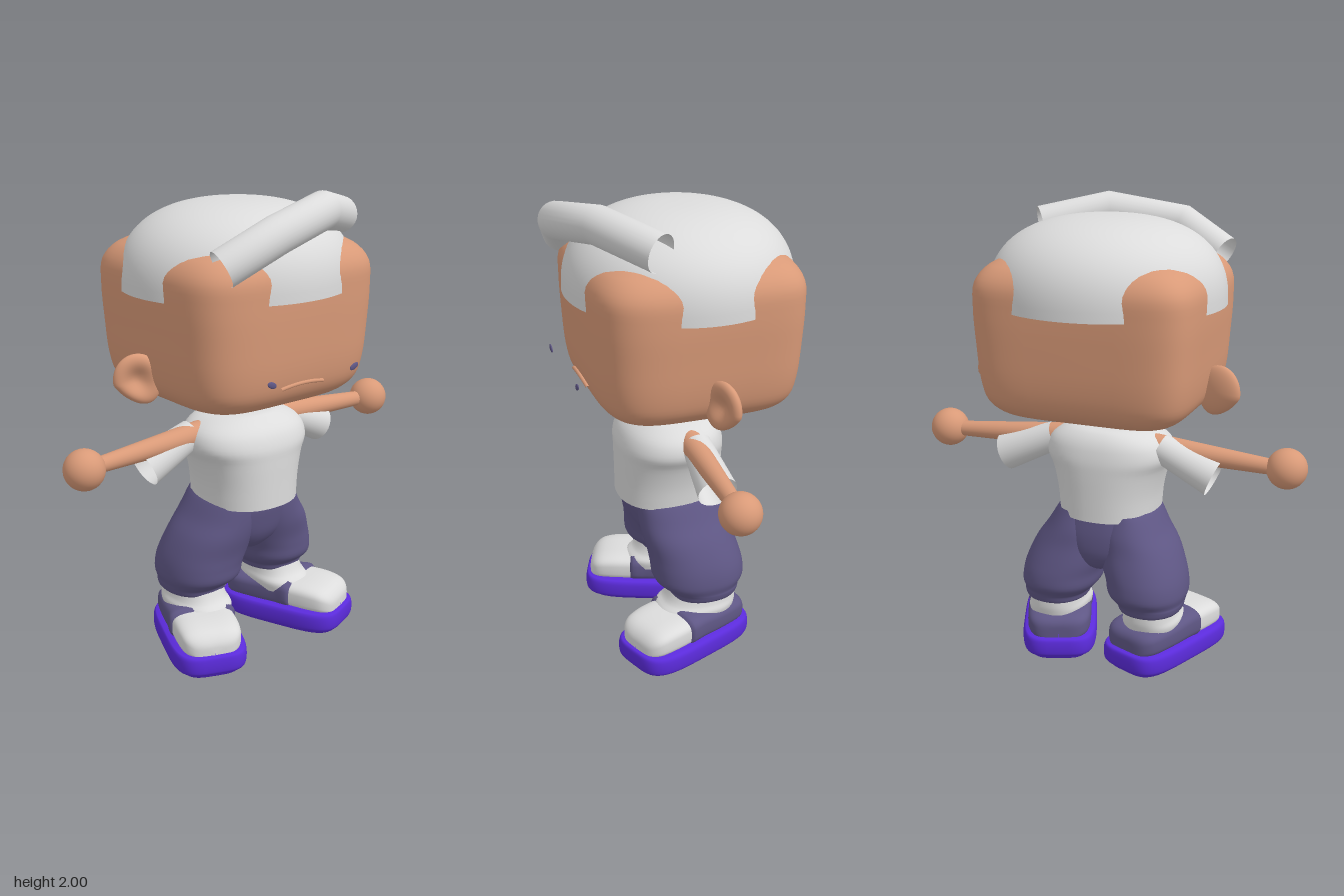
import * as THREE from 'three';

const mat = (name, color, side = THREE.FrontSide) => {
  const m = new THREE.MeshStandardMaterial({ color, side });
  m.name = name;
  return m;
};

// Smooth loft through rings [y, radiusX, radiusZ, centreX, centreZ];
// n shapes the outline (2 = ellipse, higher = boxier), nBack its -z half.
function loft(rings, n = 2, nBack = n, seg = 48, sub = 4) {
  const size = new THREE.CatmullRomCurve3(rings.map(r => new THREE.Vector3(r[1], r[0], r[2])));
  const mid = new THREE.CatmullRomCurve3(rings.map(r => new THREE.Vector3(r[3] || 0, r[0], r[4] || 0)));
  const rows = (rings.length - 1) * sub;
  const pos = [], idx = [];
  const bend = (v, e) => Math.sign(v) * Math.pow(Math.abs(v), 2 / e);
  for (let j = 0; j <= rows; j++) {
    const s = size.getPoint(j / rows), c = mid.getPoint(j / rows);
    for (let i = 0; i < seg; i++) {
      const t = (i / seg) * Math.PI * 2;
      const e = Math.sin(t) < 0 ? nBack : n;
      pos.push(c.x + s.x * bend(Math.cos(t), e), s.y, c.z + s.z * bend(Math.sin(t), e));
      if (j < rows) {
        const a = j * seg + i, b = j * seg + (i + 1) % seg;
        idx.push(a, a + seg, b, b, a + seg, b + seg);
      }
    }
  }
  const g = new THREE.BufferGeometry();
  g.setAttribute('position', new THREE.Float32BufferAttribute(pos, 3));
  g.setIndex(idx);
  g.computeVertexNormals();
  return g;
}

// Tapered cylinder from point a to point b
function rod(a, b, ra, rb, open) {
  const A = new THREE.Vector3(...a), B = new THREE.Vector3(...b);
  const d = B.clone().sub(A);
  const g = new THREE.CylinderGeometry(rb, ra, d.length(), 32, 1, open);
  g.applyQuaternion(new THREE.Quaternion().setFromUnitVectors(new THREE.Vector3(0, 1, 0), d.normalize()));
  const m = A.add(B).multiplyScalar(0.5);
  return g.translate(m.x, m.y, m.z);
}

// Ear: a flattened ball, dished at the front and narrowed at the lobe
function earGeometry(s) {
  const g = new THREE.SphereGeometry(1, 40, 28);
  const p = g.attributes.position;
  for (let i = 0; i < p.count; i++) {
    let x = p.getX(i), z = p.getZ(i);
    const y = p.getY(i);
    if (z > 0) z -= 1.2 * Math.exp(-3.5 * (x * x + y * y));
    if (y < 0) x = x * (1 + 0.2 * y) + s * 0.25 * y;
    p.setXYZ(i, x, y, z);
  }
  g.scale(0.1, 0.108, 0.04);
  g.computeVertexNormals();
  return g;
}

export function createModel() {
  const white = mat('white cloth and hair', 0xdcdcdc, THREE.DoubleSide);
  const skin = mat('skin', 0xd99a78);
  const navy = mat('dusty purple', 0x5f5785, THREE.DoubleSide);
  const violet = mat('violet sole', 0x5b2bdb);

  const model = new THREE.Group();
  const add = (name, geo, material, parent = model) => {
    const m = new THREE.Mesh(geo, material);
    m.name = name;
    parent.add(m);
    return m;
  };

  // Head and neck
  add('head', loft([
    [1.1, 0.001, 0.001, 0, -0.02], [1.115, 0.17, 0.16, 0, -0.02], [1.14, 0.31, 0.29, 0, -0.02],
    [1.17, 0.385, 0.355, 0, -0.02], [1.22, 0.43, 0.395, 0, -0.02], [1.3, 0.451, 0.414, 0, -0.02],
    [1.45, 0.464, 0.425, 0, -0.02], [1.6, 0.472, 0.43, 0, -0.02], [1.7, 0.465, 0.425, 0, -0.02],
    [1.77, 0.41, 0.375, 0, -0.02], [1.82, 0.25, 0.23, 0, -0.02], [1.83, 0.001, 0.001, 0, -0.02],
  ], 4.5, 6, 96), skin);
  add('neck', new THREE.CylinderGeometry(0.045, 0.045, 0.2, 24).translate(0, 1.05, 0), skin);

  // Hair cap and swept forelock
  const dome = [];
  for (let i = 0; i <= 24; i++) {
    const t = (i / 24) * Math.PI / 2;
    dome.push(new THREE.Vector2(0.497 * Math.pow(Math.cos(t), 0.8) + 1e-4, 1.6 + 0.35 * Math.pow(Math.sin(t), 0.8)));
  }
  const hair = add('hairCap', new THREE.LatheGeometry(dome, 64).scale(1, 1, 0.955), white);
  hair.position.z = -0.03;
  const lock = new THREE.CatmullRomCurve3([
    [-0.38, 1.755, 0.36], [-0.17, 1.87, 0.425], [0.14, 1.925, 0.34], [0.39, 1.868, 0.17],
  ].map(p => new THREE.Vector3(...p)));
  lock.getPointAt = lock.getPoint;
  lock.getTangentAt = lock.getTangent;
  add('forelock', new THREE.TubeGeometry(lock, 3, 0.077, 28), white);

  // Mouth
  const lip = new THREE.QuadraticBezierCurve3(
    new THREE.Vector3(-0.11, 1.25, 0.392), new THREE.Vector3(0, 1.272, 0.4), new THREE.Vector3(0.11, 1.25, 0.392));
  add('mouth', new THREE.TubeGeometry(lip, 16, 0.008, 8), skin);

  // Torso inside the shirt, and the open-hemmed shirt
  add('torso', loft([[0.66, 0.001, 0.001], [0.69, 0.19, 0.19], [0.8, 0.19, 0.19], [1, 0.16, 0.15], [1.04, 0.001, 0.001]]), skin);
  add('shirt', loft([
    [0.675, 0.215, 0.228, 0, 0.018], [0.78, 0.225, 0.228, 0, 0.018], [0.88, 0.25, 0.228, 0, 0.018],
    [0.94, 0.278, 0.225, 0, 0.018], [1.0, 0.262, 0.205, 0, 0.012], [1.045, 0.2, 0.165, 0, 0],
    [1.065, 0.13, 0.13, 0, 0], [1.066, 0.001, 0.001, 0, 0],
  ], 2.3), white);

  // Seat of the trousers joining both legs
  add('trouserSeat', loft([
    [0.42, 0.001, 0.08, 0, -0.03], [0.45, 0.08, 0.14, 0, -0.03], [0.52, 0.19, 0.185, 0, -0.02],
    [0.6, 0.235, 0.197, 0, -0.01], [0.67, 0.222, 0.197, 0, 0], [0.7, 0.21, 0.19, 0, 0], [0.701, 0.001, 0.001, 0, 0],
  ], 2.3), navy);

  for (const s of [1, -1]) {
    const side = s > 0 ? 'left' : 'right';

    // Ear and slanted floating eye
    const ear = add(side + 'Ear', earGeometry(s), skin);
    ear.position.set(s * 0.495, 1.263, -0.045);
    ear.rotation.set(0, s * 0.35, -s * 0.15);
    const eye = add(side + 'Eye', new THREE.SphereGeometry(1, 16, 10).scale(0.024, 0.013, 0.005), navy);
    eye.position.set(s * 0.217, 1.305, 0.462);
    eye.rotation.z = s * 0.4;

    // Arm, hand and drooping sleeve
    add(side + 'Arm', rod([s * 0.12, 0.99, -0.015], [s * 0.74, 0.955, -0.015], 0.058, 0.032), skin);
    add(side + 'Hand', new THREE.SphereGeometry(0.085, 32, 20).translate(s * 0.78, 0.955, -0.01), skin);
    add(side + 'Sleeve', rod([s * 0.24, 0.985, -0.03], [s * 0.48, 0.884, -0.035], 0.062, 0.083, true), white);

    // Baggy trouser leg
    add(side + 'TrouserLeg', loft([
      [0.262, 0.09, 0.12, s * 0.22, -0.07], [0.268, 0.135, 0.15, s * 0.22, -0.07],
      [0.295, 0.145, 0.158, s * 0.22, -0.07], [0.31, 0.155, 0.172, s * 0.212, -0.062],
      [0.345, 0.172, 0.2, s * 0.203, -0.055], [0.4, 0.175, 0.203, s * 0.195, -0.05],
      [0.46, 0.178, 0.2, s * 0.175, -0.04], [0.54, 0.168, 0.198, s * 0.148, -0.02],
      [0.61, 0.145, 0.195, s * 0.122, -0.01], [0.68, 0.115, 0.185, s * 0.11, 0], [0.7, 0.105, 0.18, s * 0.105, 0],
    ], 2.2), navy);

    // Sock
    add(side + 'Sock', loft([
      [0.17, 0.12, 0.17, s * 0.225, -0.03], [0.21, 0.128, 0.175, s * 0.225, -0.035],
      [0.24, 0.118, 0.16, s * 0.222, -0.055], [0.3, 0.11, 0.145, s * 0.22, -0.07],
    ], 2.4), white);

    // Shoe, toes turned out
    const shoe = new THREE.Group();
    shoe.name = side + 'Shoe';
    shoe.position.set(s * 0.257, 0, 0.025);
    shoe.rotation.y = s * 0.38;
    model.add(shoe);
    add('sole', loft([
      [0.004, 0.001, 0.001], [0.004, 0.135, 0.265], [0.02, 0.146, 0.276], [0.026, 0.16, 0.288],
      [0.04, 0.166, 0.295], [0.09, 0.166, 0.295], [0.108, 0.157, 0.286], [0.11, 0.001, 0.001],
    ], 4, 4, 64), violet, shoe);
    // Upper sections run heel to toe as [z, half width, top height]
    const upper = (name, sections, m) => add(name, loft(
      sections.map(([z, w, top]) => [z, w, (top - 0.09) / 2, 0, -(top + 0.09) / 2]), 3.5).rotateX(Math.PI / 2), m, shoe);
    upper('shoeBody', [[-0.272, 0.001, 0.13], [-0.265, 0.09, 0.18], [-0.225, 0.13, 0.205], [-0.1, 0.143, 0.215],
      [0, 0.143, 0.225], [0.075, 0.143, 0.222], [0.076, 0.001, 0.13]], navy);
    upper('toeCap', [[0.06, 0.138, 0.218], [0.17, 0.136, 0.215], [0.235, 0.122, 0.198],
      [0.268, 0.085, 0.165], [0.277, 0.001, 0.12]], white);
  }
  return model;
}
